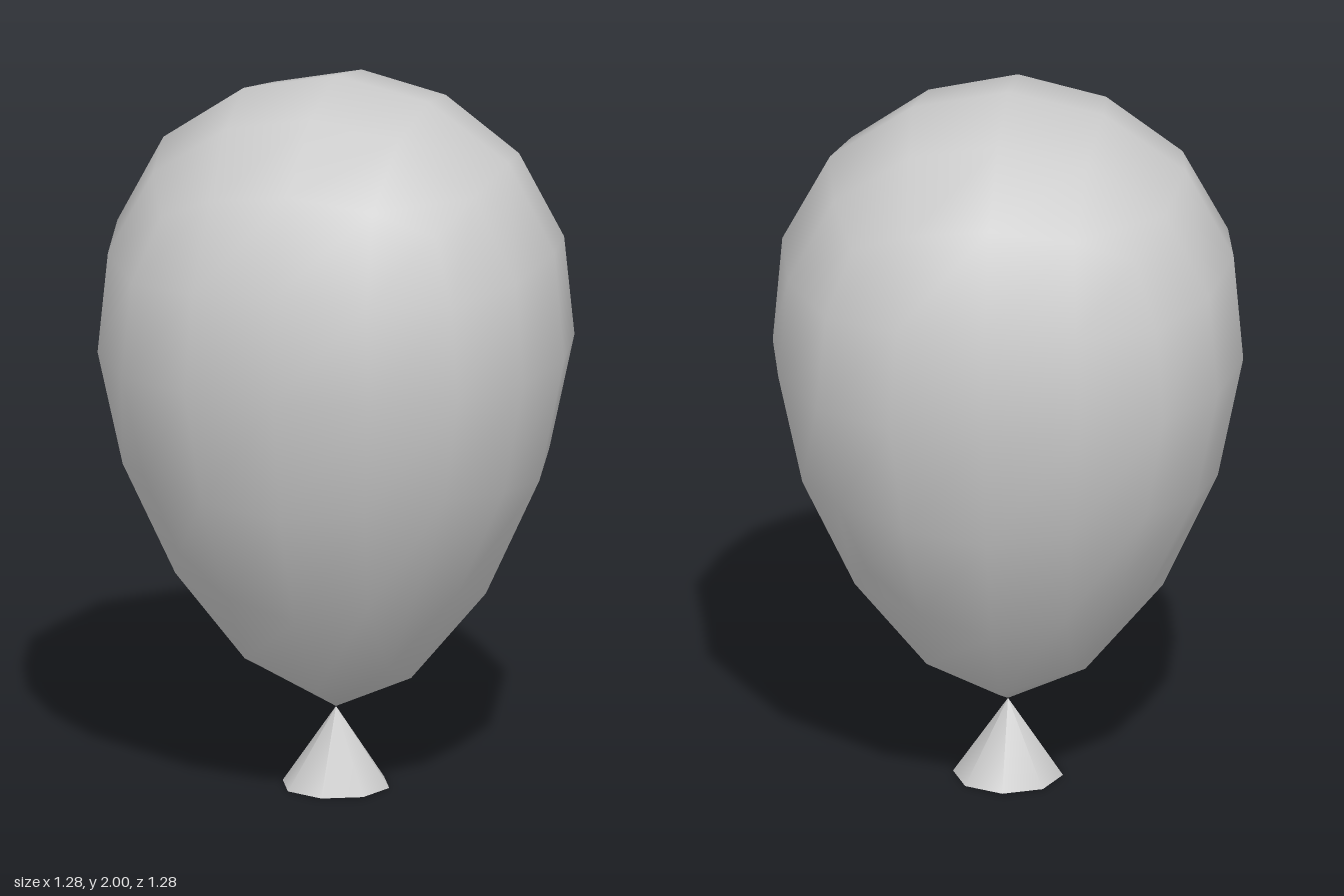
import * as THREE from 'three';
import { mergeVertices } from 'three/addons/utils/BufferGeometryUtils.js';

// Rounded-cube lattice: coordinate for each grid step, as a share of the radius
const OUTER = { '00': 1, '10': 0.934, '20': 0.737, '11': 0.873, '21': 0.686, '22': 0.585 };
const INNER = [0.404, 0.373, 0.346];

// Balloon profile rows: unit height, real height, width factor
const ROWS = [
  [-1, 0.22, 0.8], [-0.934, 0.315, 0.815], [-0.737, 0.57, 0.892], [-0.404, 0.9, 0.955],
  [0, 1.245, 1], [0.404, 1.545, 1.027], [0.737, 1.79, 1.027], [0.934, 1.945, 1.005], [1, 2, 1],
];

function roundCoord(own, a, b) {
  const step = Math.abs(own), hi = Math.max(Math.abs(a), Math.abs(b)), lo = Math.min(Math.abs(a), Math.abs(b));
  if (step === 0) return 0;
  return Math.sign(own) * (step === 1 ? INNER[lo] : OUTER[`${hi}${lo}`]);
}

function profileAt(v) {
  let i = 0;
  while (i < ROWS.length - 2 && v > ROWS[i + 1][0]) i++;
  const [p, q] = [ROWS[i], ROWS[i + 1]];
  const t = (v - p[0]) / (q[0] - p[0]);
  return [THREE.MathUtils.lerp(p[1], q[1], t), THREE.MathUtils.lerp(p[2], q[2], t)];
}

// Gridded cube rounded into a ball, then tapered toward the neck
function balloonGeometry(radius) {
  let geo = new THREE.BoxGeometry(4, 4, 4, 4, 4, 4);
  geo.deleteAttribute('uv');
  geo.deleteAttribute('normal');
  geo = mergeVertices(geo, 1e-3);
  const pos = geo.attributes.position;
  for (let i = 0; i < pos.count; i++) {
    const [x, y, z] = [pos.getX(i), pos.getY(i), pos.getZ(i)].map(Math.round);
    const [height, width] = profileAt(roundCoord(y, x, z));
    pos.setXYZ(i, roundCoord(x, y, z) * radius * width, height, roundCoord(z, x, y) * radius * width);
  }
  geo.computeVertexNormals();
  return geo;
}

export function createModel() {
  const model = new THREE.Group();
  model.name = 'balloon';
  const material = new THREE.MeshStandardMaterial({ color: 0xcccccc });
  const add = (name, geometry) => {
    const mesh = new THREE.Mesh(geometry, material);
    mesh.name = name;
    model.add(mesh);
  };
  const lathe = (...points) => new THREE.LatheGeometry(points.map(([r, y]) => new THREE.Vector2(r, y)), 8);

  add('balloonBody', balloonGeometry(0.642));
  // Flared tie below the body, with a shallow hollow underneath
  add('knot', lathe([0.15, 0], [0, 0.22]));
  add('knotHollow', lathe([0, 0.05], [0.15, 0]));
  return model;
}
